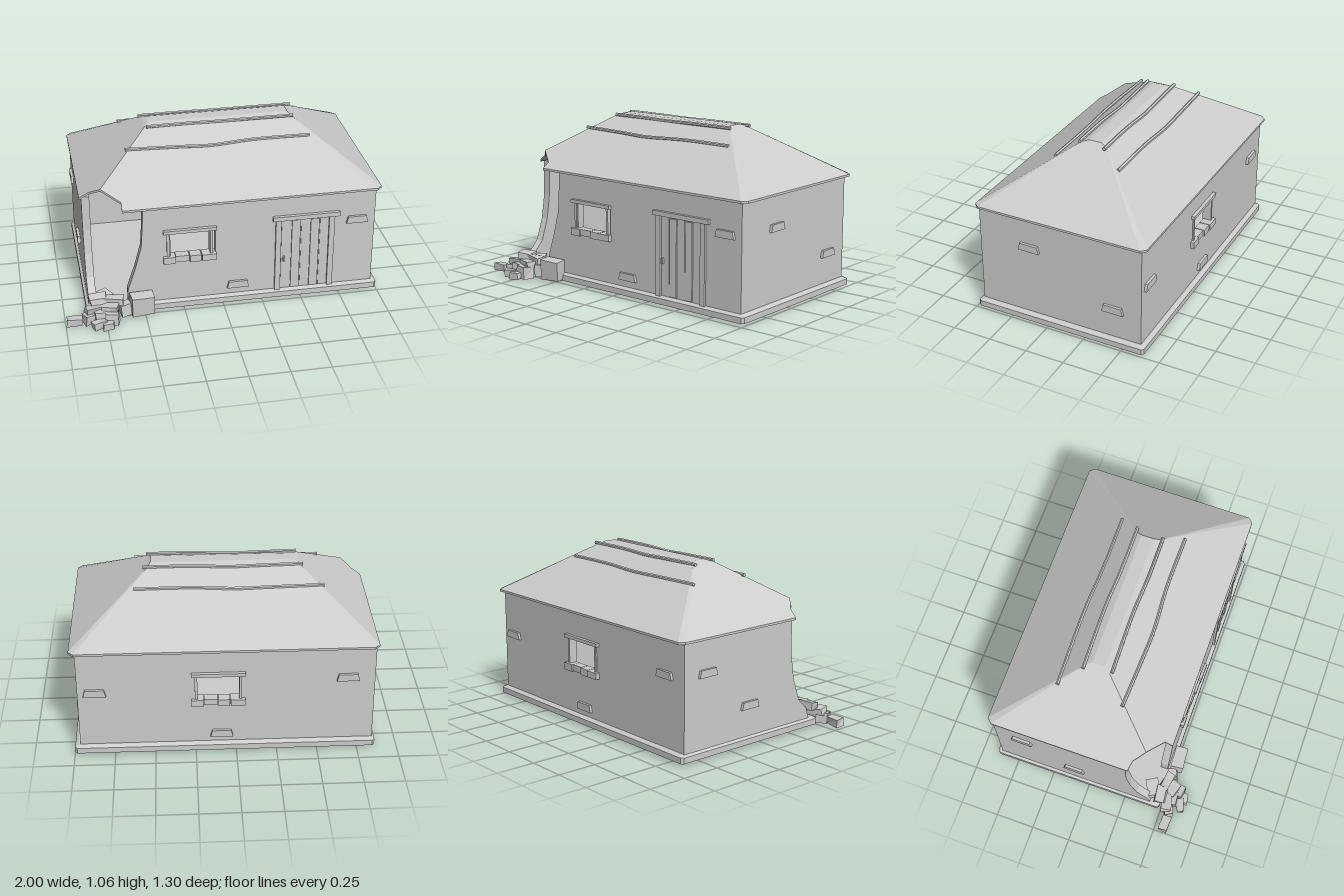
import * as THREE from 'three';

export function createModel() {
  const house = new THREE.Group();
  house.name = 'house';
  const clay = new THREE.MeshStandardMaterial({ color: 0xcccccc, flatShading: true, side: THREE.DoubleSide });
  clay.name = 'plain grey';

  let seed = 7;
  const rand = () => (seed = (seed * 16807) % 2147483647) / 2147483647 - 0.5;

  const add = (name, geo, parent = house) => {
    const m = new THREE.Mesh(geo, clay);
    m.name = name;
    parent.add(m);
    return m;
  };
  const group = (name) => {
    const g = new THREE.Group();
    g.name = name;
    house.add(g);
    return g;
  };
  // box given by its lower and upper limits
  const block = (name, x0, x1, y0, y1, z0, z1, parent) => {
    const m = add(name, new THREE.BoxGeometry(x1 - x0, y1 - y0, z1 - z0), parent);
    m.position.set((x0 + x1) / 2, (y0 + y1) / 2, (z0 + z1) / 2);
    return m;
  };
  const outline = (pts) => new THREE.Shape(pts.map(([a, b]) => new THREE.Vector2(a, b)));
  const rect = (x0, x1, y0, y1) => outline([[x0, y0], [x1, y0], [x1, y1], [x0, y1]]);
  const extrude = (shape, depth) => new THREE.ExtrudeGeometry(shape, { depth, bevelEnabled: false });

  // plinth: open frame with a chamfered upper edge, and the floor
  const plinth = group('plinth');
  const ring = (a, y) => {
    const x0 = -0.862 + a, x1 = 0.998 - a, z0 = -0.645 + a, z1 = 0.485 - a, c = 0.015;
    return [[x0 + c, z1], [x1 - c, z1], [x1, z1 - c], [x1, z0 + c], [x1 - c, z0], [x0 + c, z0], [x0, z0 + c], [x0, z1 - c]]
      .map(([x, z]) => [x, y, z]);
  };
  const rings = [ring(0.035, 0.03), ring(0.03, 0.015), ring(0, 0.015), ring(0, 0.052), ring(0.02, 0.065), ring(0.1, 0.065)];
  const pos = [];
  for (let r = 0; r < rings.length - 1; r++) {
    for (let i = 0; i < 8; i++) {
      const j = (i + 1) % 8, a = rings[r], b = rings[r + 1];
      pos.push(...a[i], ...a[j], ...b[j], ...a[i], ...b[j], ...b[i]);
    }
  }
  const frame = new THREE.BufferGeometry();
  frame.setAttribute('position', new THREE.Float32BufferAttribute(pos, 3));
  frame.computeVertexNormals();
  add('plinthFrame', frame, plinth);
  block('floor', -0.825, 0.96, 0.025, 0.06, -0.61, 0.45, plinth);

  // walls, two of them broken off along a curve at the ruined corner
  const walls = group('walls');
  const T = 0.05, top = 0.728;
  const front = outline([[-0.6, 0.06], [0.965, 0.06], [0.965, top], [-0.495, top], [-0.5, 0.6], [-0.51, 0.46], [-0.55, 0.31], [-0.6, 0.16]]);
  front.holes.push(rect(-0.33, -0.05, 0.37, 0.55));
  add('frontWall', extrude(front, T), walls).position.z = 0.41;
  const back = rect(-0.845, 0.965, 0.06, top);
  back.holes.push(rect(-0.02, 0.25, 0.37, 0.55));
  add('backWall', extrude(back, T), walls).position.z = -0.615;
  const right = add('leftWall', extrude(rect(-0.565, 0.41, 0.06, top), T), walls);
  right.rotation.y = -Math.PI / 2;
  right.position.x = 0.965;
  const broken = outline([[-0.565, 0.06], [0.42, 0.06], [0.4, 0.13], [0.33, 0.2], [0.28, 0.34], [0.255, 0.5], [0.25, top], [-0.565, top]]);
  const left = add('rightWall', extrude(broken, T), walls);
  left.rotation.y = -Math.PI / 2;
  left.position.x = -0.795;

  // roof panels: flat polygons with a little thickness below
  const roof = group('roof');
  const panel = (name, pts, t = 0.014) => {
    const p = [], low = pts.map(([x, y, z]) => [x, y - t, z]), n = pts.length;
    for (let i = 1; i < n - 1; i++) {
      p.push(...pts[0], ...pts[i], ...pts[i + 1], ...low[0], ...low[i + 1], ...low[i]);
    }
    for (let i = 0; i < n; i++) {
      const j = (i + 1) % n;
      p.push(...pts[i], ...low[i], ...low[j], ...pts[i], ...low[j], ...pts[j]);
    }
    const g = new THREE.BufferGeometry();
    g.setAttribute('position', new THREE.Float32BufferAttribute(p, 3));
    g.computeVertexNormals();
    add(name, g, roof);
  };
  const E = 0.735, R = 1.05;
  const FL = [-0.41, R, 0], FR = [0.52, R, 0], BL = [-0.41, R, -0.16], BR = [0.52, R, -0.16];
  const cut = [-0.734, 0.823, 0.346];
  panel('frontSlope', [FR, FL, cut, [-0.62, 0.768, 0.43], [-0.62, E, 0.48], [0.97, E, 0.48]]);
  panel('backSlope', [BL, BR, [0.97, E, -0.65], [-0.83, E, -0.65]]);
  panel('rightSlope', [BL, [-0.86, E, -0.62], [-0.86, E, 0.27], [-0.8, 0.777, 0.285], cut, FL]);
  panel('leftSlope', [BR, FR, [1, E, 0.45], [1, E, -0.62]]);
  panel('hip', [FR, [0.97, E, 0.48], [1, E, 0.45]]);
  panel('hip', [BR, [1, E, -0.62], [0.97, E, -0.65]]);
  panel('hip', [BL, [-0.83, E, -0.65], [-0.86, E, -0.62]]);
  const inner = [[-0.38, 1.063, -0.04], [0.505, 1.063, -0.04], [0.505, 1.063, -0.12], [-0.38, 1.063, -0.12]];
  const outer = [FL, FR, BR, BL];
  panel('ridgeCap', inner);
  for (let i = 0; i < 4; i++) {
    const j = (i + 1) % 4;
    panel('ridgeEdge', [outer[i], outer[j], inner[j], inner[i]]);
  }

  // slightly crooked poles lying on the thatch
  const pole = (x0, x1, y, z, bend) => {
    const pts = [0, 0.3, 0.45, 0.7, 1].map((t, i) =>
      new THREE.Vector3(x0 + (x1 - x0) * t, y - Math.abs(bend) * [0, 0.2, 0.5, 0, 0][i], z + bend * [0, 0.8, 1, 0, 0.1][i]));
    add('roofPole', new THREE.TubeGeometry(new THREE.CatmullRomCurve3(pts), 16, 0.011, 6), roof);
    for (const end of [pts[0], pts[4]]) {
      const cap = add('poleEnd', new THREE.CylinderGeometry(0.011, 0.011, 0.004, 6), roof);
      cap.rotation.z = Math.PI / 2;
      cap.position.copy(end);
    }
  };
  pole(-0.55, 0.61, 0.968, 0.13, 0.018);
  pole(-0.4, 0.53, 1.054, 0.012, -0.01);
  pole(-0.43, 0.55, 1.052, -0.162, -0.01);
  pole(-0.55, 0.61, 0.968, -0.285, -0.012);

  // windows: lintel, side posts and a sill of loose bricks
  const makeWindow = (cx, z, turn) => {
    const w = group('window');
    block('lintel', -0.165, 0.165, 0.543, 0.565, -0.04, 0.022, w);
    for (const s of [-1, 1]) block('post', s * 0.135 - 0.008, s * 0.135 + 0.008, 0.375, 0.545, -0.045, 0.008, w);
    [[-0.165, -0.09, 0.022], [-0.088, -0.005, 0.012], [0, 0.07, 0.02], [0.075, 0.165, 0.026]].forEach(([a, b, d], i) =>
      block('sillBrick', a, b, 0.333 + (i % 2) * 0.004, 0.378, -0.045, d, w));
    w.position.set(cx, 0, z);
    w.rotation.y = turn;
  };
  makeWindow(-0.21, 0.46, 0);
  makeWindow(0.11, -0.615, Math.PI);

  // plank door
  const door = group('door');
  block('doorLintel', 0.31, 0.735, 0.563, 0.592, 0.44, 0.482, door);
  block('doorPost', 0.33, 0.365, 0.062, 0.563, 0.44, 0.474, door);
  block('doorPost', 0.67, 0.705, 0.062, 0.563, 0.44, 0.474, door);
  const seams = [0.365, 0.43, 0.49, 0.55, 0.61, 0.67];
  for (let i = 0; i < 5; i++) {
    block('plank', seams[i] + 0.003, seams[i + 1] - 0.003, 0.07, 0.56 - (i % 2) * 0.006, 0.45, 0.465 + (i % 2) * 0.004, door);
  }
  block('handle', 0.38, 0.39, 0.27, 0.305, 0.46, 0.482, door);

  // exposed bricks on every wall: position, then facing angle
  const bricks = group('exposedBricks');
  const H = Math.PI / 2;
  const brickShape = outline([[-0.07, -0.023], [0.07, -0.023], [0.058, 0.023], [-0.058, 0.023]]);
  for (const [x, y, z, a] of [
    [0.85, 0.523, 0.46, 0], [0.095, 0.132, 0.46, 0],
    [0.965, 0.523, 0.122, H], [0.965, 0.258, -0.432, H],
    [-0.845, 0.523, -0.44, -H], [-0.845, 0.26, -0.1, -H],
    [0.86, 0.44, -0.615, 2 * H], [0.09, 0.125, -0.615, 2 * H], [-0.68, 0.51, -0.615, 2 * H],
  ]) {
    const b = add('wallBrick', extrude(brickShape, 0.017), bricks);
    b.position.set(x, y, z);
    b.rotation.y = a;
  }

  // fallen rubble: centre, size and turn of each stone
  const rubble = group('rubble');
  for (const [x, y, z, w, h, d, a] of [
    [-0.52, 0.083, 0.508, 0.14, 0.13, 0.08, 0.04], [-0.625, 0.06, 0.5, 0.07, 0.08, 0.06, 0.3],
    [-0.945, 0.038, 0.557, 0.1, 0.05, 0.055, -0.05], [-0.85, 0.045, 0.545, 0.08, 0.07, 0.06, 0.5],
    [-0.77, 0.05, 0.535, 0.11, 0.08, 0.09, 0.2], [-0.71, 0.045, 0.57, 0.07, 0.075, 0.09, -0.2],
    [-0.8, 0.03, 0.61, 0.09, 0.05, 0.05, 0.4], [-0.745, 0.028, 0.622, 0.07, 0.045, 0.045, 0.1],
    [-0.79, 0.125, 0.475, 0.1, 0.05, 0.07, 0.1], [-0.69, 0.115, 0.485, 0.12, 0.05, 0.06, -0.15],
    [-0.81, 0.09, 0.52, 0.13, 0.04, 0.06, 0.25], [-0.72, 0.09, 0.53, 0.09, 0.04, 0.07, -0.3],
    [-0.76, 0.09, 0.41, 0.11, 0.06, 0.08, 0.5],
  ]) {
    const g = new THREE.BoxGeometry(w, h, d), p = g.attributes.position;
    // shift the eight corners, keeping the faces joined
    const shift = Array.from({ length: 8 }, () => [rand() * 0.015, rand() * 0.015, rand() * 0.015]);
    for (let i = 0; i < p.count; i++) {
      const k = (p.getX(i) > 0 ? 1 : 0) + (p.getY(i) > 0 ? 2 : 0) + (p.getZ(i) > 0 ? 4 : 0);
      p.setXYZ(i, p.getX(i) + shift[k][0], p.getY(i) + shift[k][1], p.getZ(i) + shift[k][2]);
    }
    g.computeVertexNormals();
    const s = add('stone', g, rubble);
    s.position.set(x, y, z);
    s.rotation.y = a;
  }
  return house;
}
